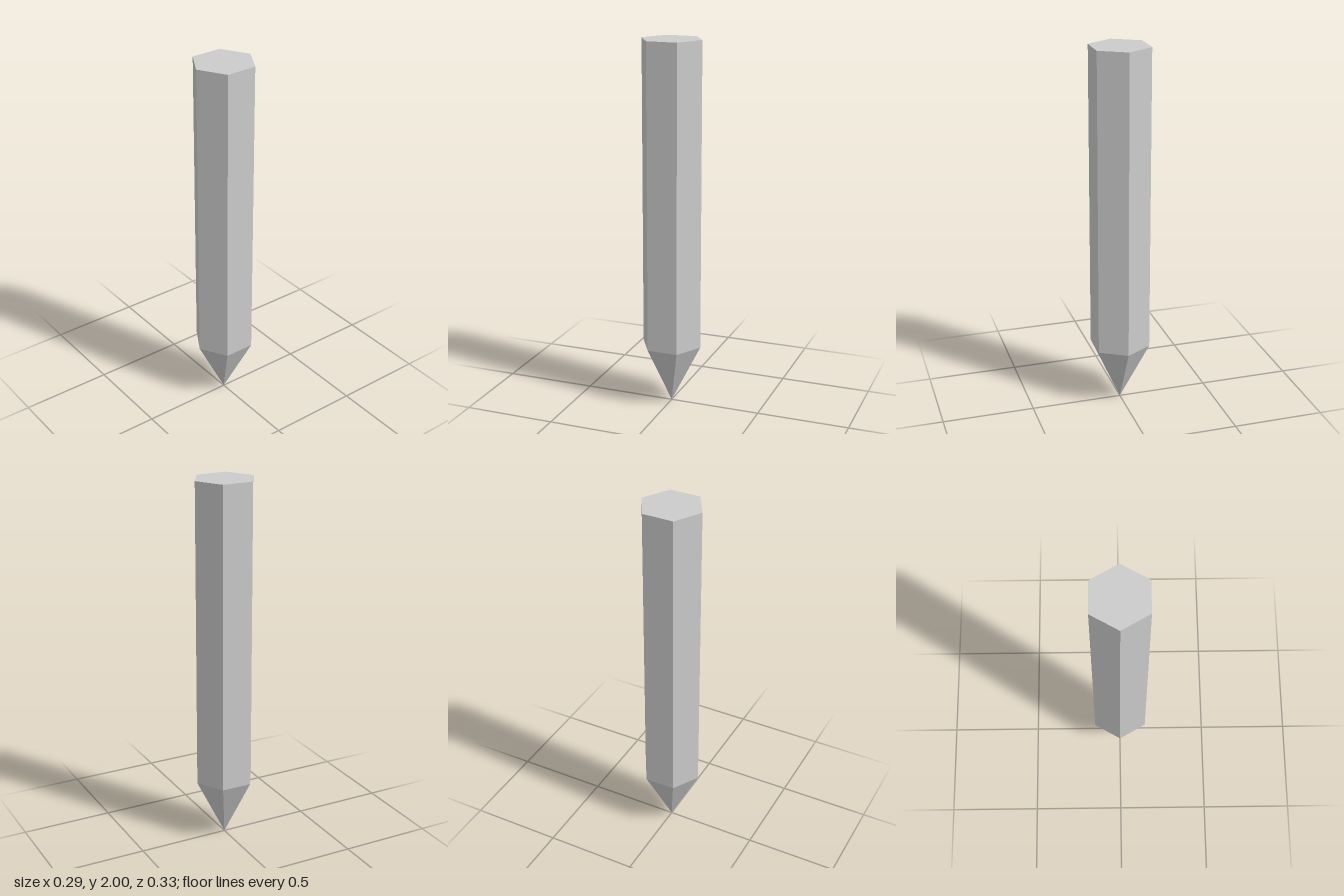
import * as THREE from 'three';

const SIDES = 6;
const RADIUS = 1 / 6;
const TIP_HEIGHT = 1 / 3;
const HEIGHT = 2;

export function createModel() {
  const group = new THREE.Group();
  group.name = 'pointedStake';
  const material = new THREE.MeshStandardMaterial({ color: 0xcccccc, flatShading: true });

  const add = (name, geometry) => {
    const mesh = new THREE.Mesh(geometry, material);
    mesh.name = name;
    group.add(mesh);
  };

  // Hexagonal shaft, with corners facing front and back
  const shaftHeight = HEIGHT - TIP_HEIGHT;
  add('shaft', new THREE.CylinderGeometry(RADIUS, RADIUS, shaftHeight, SIDES, 1, true)
    .translate(0, TIP_HEIGHT + shaftHeight / 2, 0));

  // Flat top
  add('topCap', new THREE.CircleGeometry(RADIUS, SIDES, Math.PI / 2)
    .rotateX(-Math.PI / 2)
    .translate(0, HEIGHT, 0));

  // Six-sided point reaching the ground
  add('tip', new THREE.CylinderGeometry(RADIUS, 0, TIP_HEIGHT, SIDES, 1, true)
    .translate(0, TIP_HEIGHT / 2, 0));

  return group;
}
